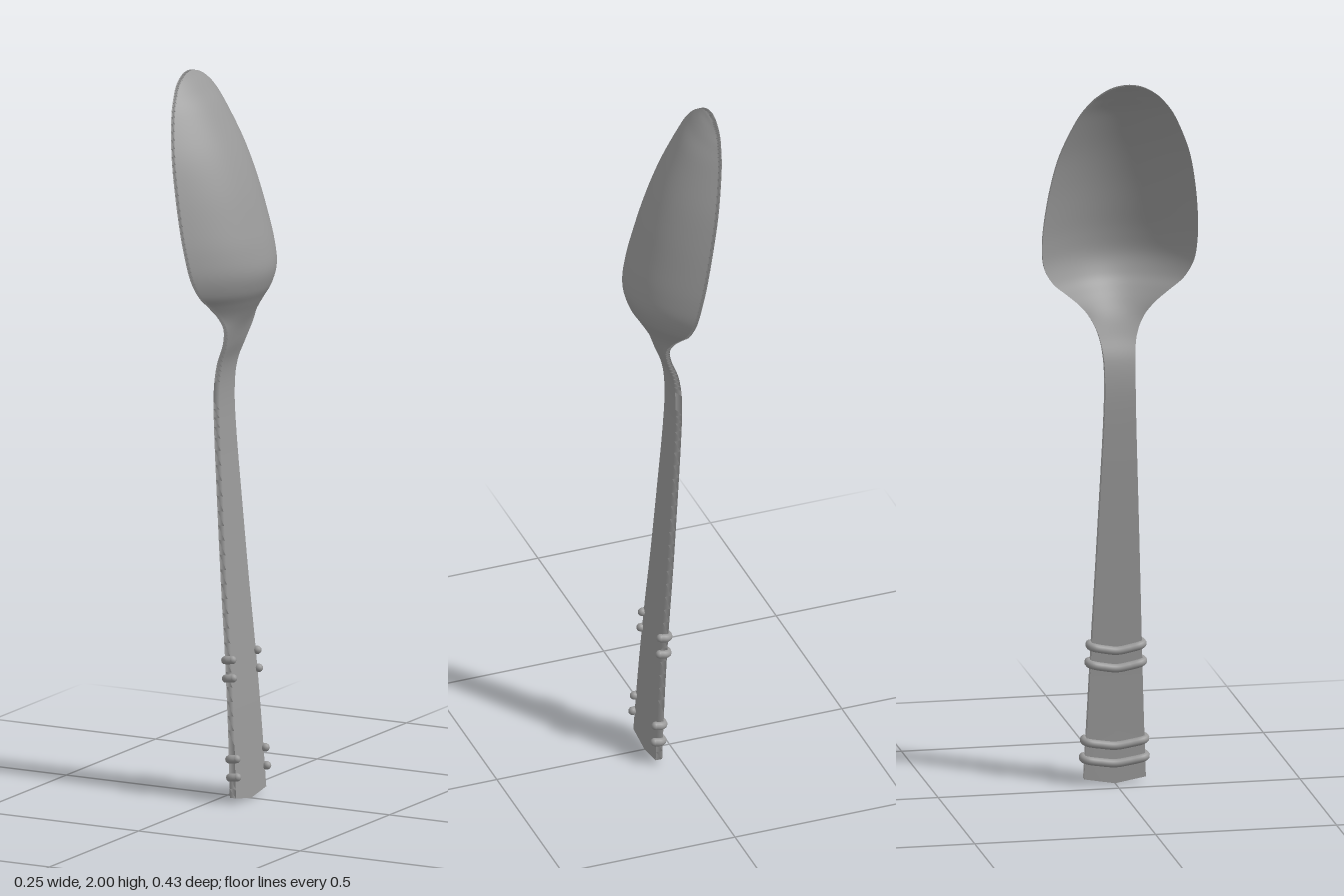
import * as THREE from 'three';

// Cross-sections, tip to handle end: height, half width, rim x, outermost x
const SECTIONS = [
  [2.0, 0.006, -0.125, -0.113], [1.997, 0.026, -0.124, -0.110], [1.99, 0.047, -0.122, -0.104],
  [1.975, 0.073, -0.119, -0.090], [1.95, 0.101, -0.112, -0.070], [1.9, 0.136, -0.1, -0.033],
  [1.8, 0.178, -0.076, 0.022], [1.7, 0.200, -0.053, 0.064], [1.6, 0.212, -0.031, 0.096],
  [1.53, 0.214, -0.015, 0.115], [1.47, 0.207, -0.002, 0.123], [1.42, 0.181, 0.009, 0.110],
  [1.385, 0.142, 0.017, 0.090], [1.35, 0.103, 0.024, 0.069], [1.31, 0.072, 0.026, 0.048],
  [1.26, 0.051, 0.012, 0.029], [1.2, 0.043, -0.011, 0.006], [1.12, 0.042, -0.021, -0.002],
  [1.0, 0.045, -0.017, 0.002], [0.8, 0.053, -0.003, 0.016], [0.6, 0.061, 0.012, 0.031],
  [0.4, 0.069, 0.029, 0.048], [0.2, 0.077, 0.043, 0.062], [0.015, 0.085, 0.053, 0.072],
];
const ACROSS = 28, STEPS = 5;

// Smooth interpolation through the section table
function sectionAt(t) {
  const n = SECTIONS.length - 1, i = Math.min(Math.floor(t), n - 1), f = t - i;
  const [p, a, b, q] = [i - 1, i, i + 1, i + 2].map(k => SECTIONS[Math.max(0, Math.min(n, k))]);
  return a.map((v, c) => v + 0.5 * f * (b[c] - p[c]
    + f * (2 * p[c] - 5 * v + 4 * b[c] - q[c] + f * (3 * (v - b[c]) + q[c] - p[c]))));
}

// Bowl and handle as one lofted shell
function spoonGeometry() {
  const pos = [], faces = [], edges = [];
  const rows = (SECTIONS.length - 1) * STEPS, ring = 2 * (ACROSS + 1);
  for (let r = 0; r <= rows; r++) {
    const [y, w, rim, outer] = sectionAt(r / STEPS);
    // Thin bowl wall, sturdier handle
    const wall = THREE.MathUtils.lerp(0.019, 0.012, THREE.MathUtils.smoothstep(y, 1.12, 1.35));
    const thick = Math.min(outer - rim, wall);
    const depth = outer - rim - thick;
    const point = THREE.MathUtils.clamp((0.15 - y) / 0.135, 0, 1) * 0.015;
    for (let k = 0; k < ring; k++) {
      const back = k <= ACROSS;
      const u = -1 + 2 * (back ? k : ring - 1 - k) / ACROSS;
      pos.push(rim + depth * (1 - u * u) + (back ? thick : 0), y - point * (1 - Math.abs(u)), u * w);
    }
  }
  for (let r = 0; r < rows; r++) for (let k = 0; k < ring; k++) {
    const a = r * ring + k, c = r * ring + (k + 1) % ring;
    const list = k === ACROSS || k === ring - 1 ? edges : faces;
    list.push(a, c, a + ring, c, c + ring, a + ring);
  }
  // Close the tip and the handle end
  for (let k = 0; k < ACROSS; k++) {
    const p = k, q = k + 1, s = ring - 1 - k, v = ring - 2 - k, e = rows * ring;
    edges.push(p, s, q, q, s, v, e + p, e + q, e + s, e + q, e + v, e + s);
  }
  const g = new THREE.BufferGeometry();
  g.setAttribute('position', new THREE.Float32BufferAttribute(pos, 3));
  // The narrow edges take the smooth shading of the broad faces
  g.setIndex(faces);
  g.computeVertexNormals();
  g.setIndex([...faces, ...edges]);
  return g;
}

// Raised band across the handle face, hooked round both edges
function addBand(group, y, material) {
  const face = 0.057 - 0.07 * y, w = 0.086 - 0.042 * y, radius = 0.0115;
  const half = [[0.023, 0.002, w + 0.001], [0.007, 0, w + 0.003], [-0.003, -0.003, w - 0.007], [-0.005, -0.009, w * 0.5]];
  const left = half.map(([x, dy, z]) => new THREE.Vector3(face + x, y + dy, z));
  const right = left.map(p => new THREE.Vector3(p.x, p.y, -p.z)).reverse();
  const path = new THREE.CatmullRomCurve3([...left, new THREE.Vector3(face - 0.005, y - 0.014, 0), ...right]);
  const band = new THREE.Group();
  band.name = 'handleBand';
  const tube = new THREE.Mesh(new THREE.TubeGeometry(path, 48, radius, 10), material);
  tube.name = 'bandTube';
  band.add(tube);
  for (const end of [left[0], right[right.length - 1]]) {
    const tip = new THREE.Mesh(new THREE.SphereGeometry(radius, 12, 8), material);
    tip.name = 'bandTip';
    tip.position.copy(end);
    band.add(tip);
  }
  group.add(band);
}

export function createModel() {
  const group = new THREE.Group();
  group.name = 'spoon';
  const material = new THREE.MeshStandardMaterial({ color: 0x9a9a9a });
  const body = new THREE.Mesh(spoonGeometry(), material);
  body.name = 'bowlAndHandle';
  group.add(body);
  for (const y of [0.393, 0.343, 0.122, 0.072]) addBand(group, y, material);
  return group;
}
